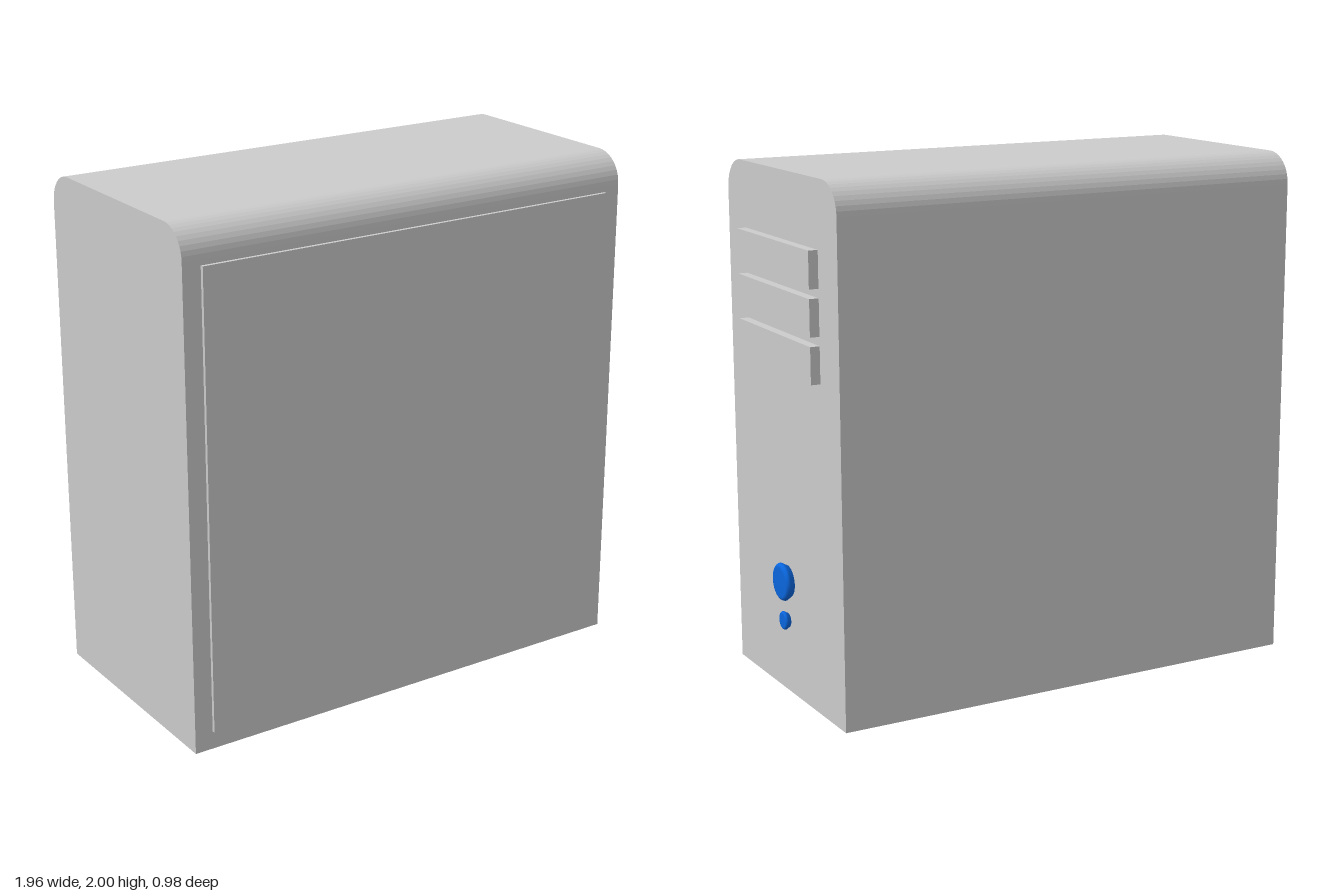
import * as THREE from 'three';

export function createModel() {
  const model = new THREE.Group();
  const grey = new THREE.MeshStandardMaterial({ color: 0xcccccc });
  const blue = new THREE.MeshStandardMaterial({ color: 0x0a66dd });

  const add = (name, geometry, material = grey) => {
    const mesh = new THREE.Mesh(geometry, material);
    mesh.name = name;
    model.add(mesh);
    return mesh;
  };
  // Box given by its minimum and maximum corners
  const box = (name, x0, x1, y0, y1, z0, z1) =>
    add(name, new THREE.BoxGeometry(x1 - x0, y1 - y0, z1 - z0))
      .position.set((x0 + x1) / 2, (y0 + y1) / 2, (z0 + z1) / 2);

  // Case: arched end profile extruded along x (profile x becomes -z)
  const back = 0.49, front = -0.476, r = 0.118, left = -0.983, right = 0.943;
  const profile = new THREE.Shape();
  profile.moveTo(front, 0);
  profile.lineTo(back, 0);
  profile.lineTo(back, 2 - r);
  profile.absarc(back - r, 2 - r, r, 0, Math.PI / 2, false);
  profile.lineTo(front + r, 2);
  profile.absarc(front + r, 2 - r, r, Math.PI / 2, Math.PI, false);
  profile.closePath();
  const caseGeometry = new THREE.ExtrudeGeometry(profile, {
    depth: right - left, bevelEnabled: false, curveSegments: 5,
  });
  caseGeometry.rotateY(Math.PI / 2).translate(left, 0, 0);
  add('case', caseGeometry);

  // Raised access panel on the broad side
  box('sidePanel', -0.91, 0.873, 0.072, 1.86, 0.47, 0.49);

  // Three drive bay covers
  for (let i = 0; i < 3; i++) {
    const y = 1.61 - i * 0.172;
    box(`driveCover${i + 1}`, 0.935, 0.98, y, y + 0.138, -0.33, 0.312);
  }

  // Round control with softened rims, facing +x
  const disc = (name, x0, x1, y, radius, bevel) => {
    const points = [new THREE.Vector2(0, x0), new THREE.Vector2(radius - bevel, x0)];
    for (let i = 0; i <= 4; i++) {
      const a = (i / 4) * Math.PI / 2;
      points.push(new THREE.Vector2(
        radius - bevel + bevel * Math.cos(a), x1 - bevel + bevel * Math.sin(a)));
    }
    points.push(new THREE.Vector2(0, x1));
    const mesh = add(name, new THREE.LatheGeometry(points, 32).rotateZ(-Math.PI / 2), blue);
    mesh.position.y = y;
  };
  disc('powerButton', 0.935, 0.98, 0.442, 0.073, 0.016);
  disc('indicatorLight', 0.946, 0.971, 0.288, 0.036, 0.009);

  return model;
}
